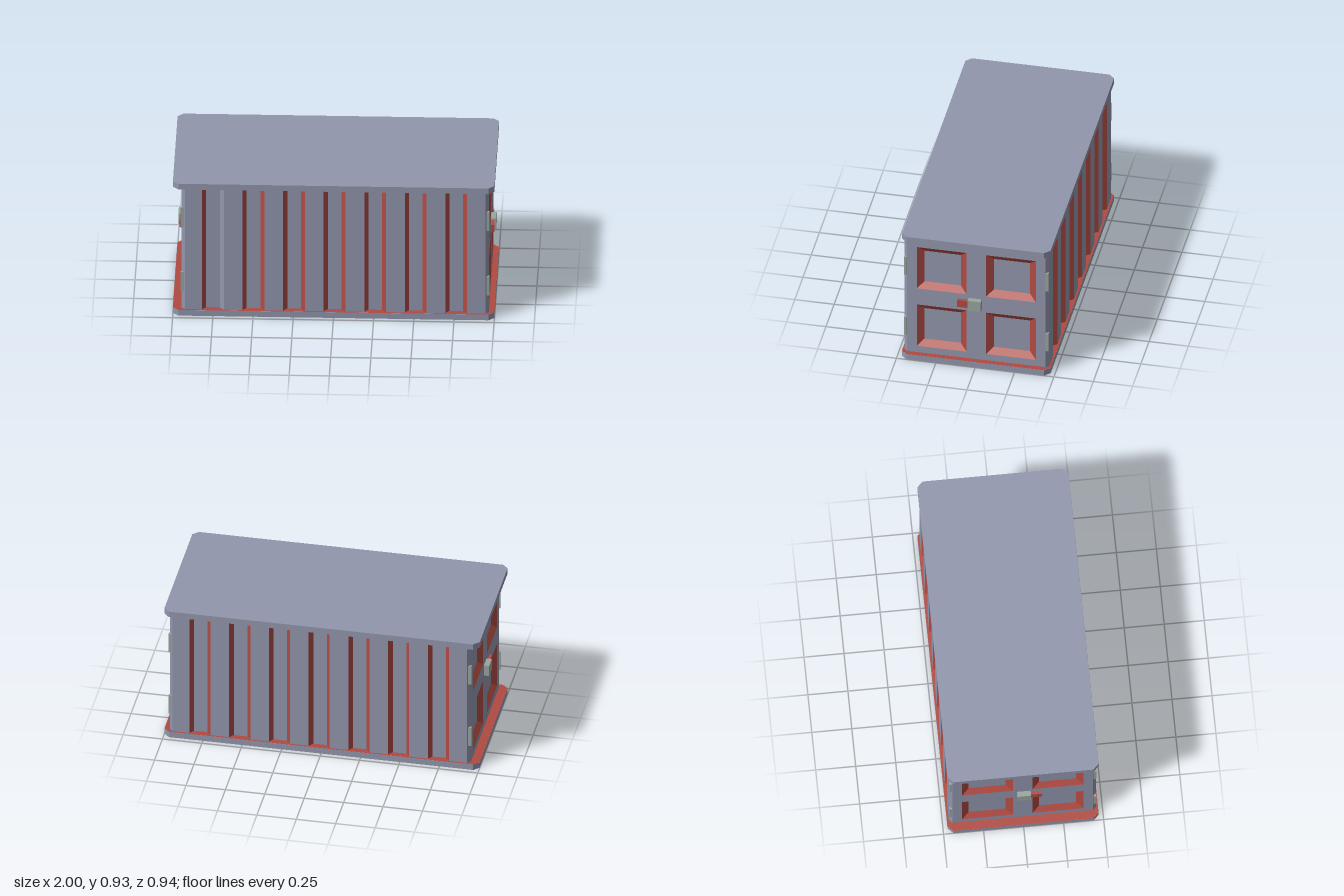
import * as THREE from 'three';

const mat = (name, color, side = THREE.FrontSide) => {
  const m = new THREE.MeshStandardMaterial({ color, side });
  m.name = name;
  return m;
};

export function createModel() {
  const steel = mat('blue grey steel', 0x9196ac);
  const red = mat('red trim', 0xb04a42);
  const fitting = mat('pale green grey', 0x98a59f);
  const under = mat('dark underside', 0x55534c);

  const mesh = (name, geometry, material, parent) => {
    const m = new THREE.Mesh(geometry, material);
    m.name = name;
    parent.add(m);
    return m;
  };
  const box = (name, w, h, d, x, y, z, material, parent) =>
    mesh(name, new THREE.BoxGeometry(w, h, d), material, parent).position.set(x, y, z);

  // flat-shaded faces, each given by four corners in counter-clockwise order
  const quads = list => {
    const g = new THREE.BufferGeometry();
    const pos = list.flatMap(([a, b, c, d]) => [a, b, c, a, c, d]).flat();
    g.setAttribute('position', new THREE.Float32BufferAttribute(pos, 3));
    g.computeVertexNormals();
    return g;
  };

  const model = new THREE.Group();
  model.name = 'shippingContainer';
  const Y0 = 0.04, Y1 = 0.885, TOP = 0.925;

  // chamfered roof and floor slabs
  const X = 1, Z = 0.472, C = 0.035;
  const outline = new THREE.Shape([[-X + C, -Z], [X - C, -Z], [X, -Z + C], [X, Z - C],
    [X - C, Z], [-X + C, Z], [-X, Z - C], [-X, -Z + C]].map(p => new THREE.Vector2(...p)));
  const slab = (name, y0, y1) => {
    const g = new THREE.ExtrudeGeometry(outline, { depth: y1 - y0, bevelEnabled: false });
    mesh(name, g.rotateX(-Math.PI / 2), steel, model).position.y = y0;
  };
  const plate = (name, y, dir, material) => {
    const g = new THREE.ShapeGeometry(outline).rotateX(-dir * Math.PI / 2);
    mesh(name, g, material, model).position.y = y;
  };
  slab('floorFrame', 0.001, Y0);
  slab('roofFrame', Y1, TOP);
  plate('floorLedge', Y0 + 0.001, 1, red);
  plate('roofLedge', Y1 - 0.001, -1, red);
  plate('underside', 0, -1, under);

  const body = new THREE.Group();
  body.name = 'body';
  body.position.x = 0.01;
  model.add(body);
  const HX = 0.955, HZ = 0.46, EDGE = 0.02;

  // corrugated long walls with red groove flanks
  const DEPTH = 0.03, PITCH = 0.252;
  const longWall = (name, turn, plainFlank) => {
    const grey = [], trim = [];
    let last = [-HX + EDGE, HZ];
    const to = (x, z, list) => {
      const [px, pz] = last;
      list.push([[px, Y0, pz], [x, Y0, z], [x, Y1, z], [px, Y1, pz]]);
      last = [x, z];
    };
    for (let k = 0; k < 7; k++) {
      const c = (k - 3) * PITCH - 0.004;
      to(c - 0.067, HZ, grey);
      to(c - 0.043, HZ - DEPTH, trim);
      to(c + 0.043, HZ - DEPTH, grey);
      to(c + 0.067, HZ, k === plainFlank ? grey : trim);
    }
    to(HX - EDGE, HZ, grey);
    to(HX, HZ - EDGE, grey); // corner post chamfer
    const g = new THREE.Group();
    g.name = name;
    g.rotation.y = turn;
    mesh('wallPanels', quads(grey), steel, g);
    mesh('grooveFlanks', quads(trim), red, g);
    // the opposite corner post
    mesh('cornerPost', quads([[[-HX, Y0, HZ - EDGE], [-HX + EDGE, Y0, HZ],
      [-HX + EDGE, Y1, HZ], [-HX, Y1, HZ - EDGE]]]), steel, g);
    body.add(g);
  };
  longWall('frontWall', 0, 0);
  longWall('backWall', Math.PI, -1);

  // rectangle corners around a centre
  const rect = (cx, cy, w, h, z) => [[cx - w, cy - h, z], [cx + w, cy - h, z],
    [cx + w, cy + h, z], [cx - w, cy + h, z]];

  // end doors with four recessed panels, hinges and a latch
  for (const s of [1, -1]) {
    const end = new THREE.Group();
    end.name = s > 0 ? 'leftEnd' : 'rightEnd';
    end.rotation.y = s * Math.PI / 2;
    body.add(end);

    const w = HZ - EDGE;
    const face = new THREE.Shape([[-w, Y0], [w, Y0], [w, Y1], [-w, Y1]]
      .map(p => new THREE.Vector2(...p)));
    const flanks = [], floors = [];
    for (const cx of [-0.22, 0.22]) for (const cy of [0.244, 0.677]) {
      const outer = rect(cx, cy, 0.158, 0.156, HX);
      const inner = rect(cx, cy, 0.115, 0.115, HX - 0.03);
      face.holes.push(new THREE.Path(outer.map(p => new THREE.Vector2(p[0], p[1]))));
      floors.push(inner);
      for (let i = 0; i < 4; i++) {
        const j = (i + 1) % 4;
        flanks.push([outer[i], outer[j], inner[j], inner[i]]);
      }
    }
    mesh('doorFace', new THREE.ShapeGeometry(face), steel, end).position.z = HX;
    mesh('recessFlanks', quads(flanks), red, end);
    mesh('recessPanels', quads(floors), steel, end);

    for (const hx of [-1, 1]) for (const y of [0.233, 0.685])
      box('hinge', 0.018, 0.132, 0.02, hx * 0.45, y, HX - 0.004, fitting, end);

    box('latchBlock', 0.084, 0.074, 0.035, -s * 0.007, 0.459, HX + 0.0165, fitting, end);
    box('latchHandle', 0.072, 0.05, 0.02, -s * 0.081, 0.46, HX + 0.014, red, end);
  }
  return model;
}
